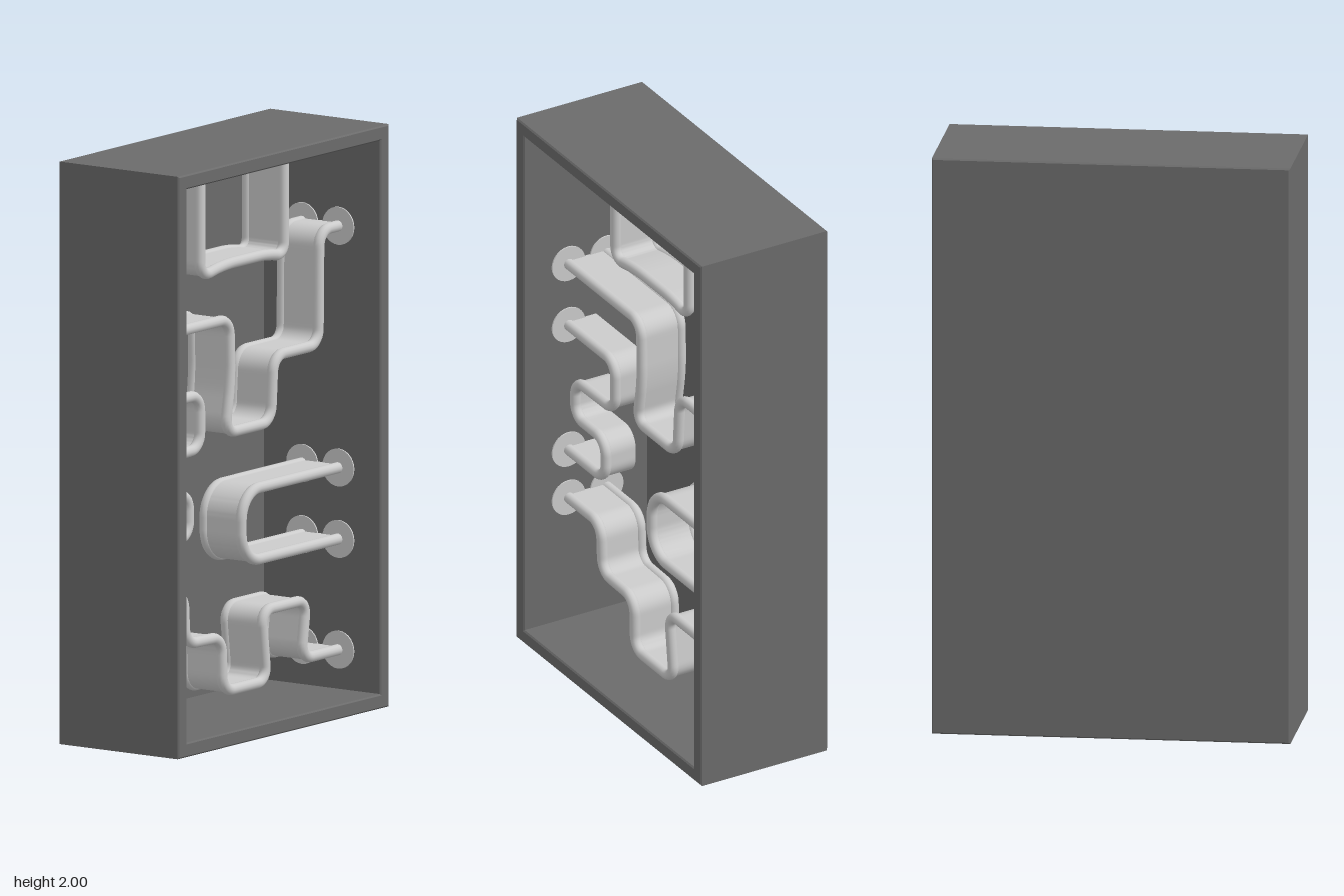
import * as THREE from 'three';
import { toCreasedNormals } from 'three/addons/utils/BufferGeometryUtils.js';

const W = 1.22, H = 2, D = 0.5, WALL = 0.05, BEVEL = 0.005;
const ROD = 0.019, FRONT_Z = 0.075, BACK_Z = -0.075;

const boxMat = new THREE.MeshStandardMaterial({ color: 0x6b6b6b });
const railMat = new THREE.MeshStandardMaterial({ color: 0xcccccc });

function addMesh(parent, name, geometry, material) {
  const mesh = new THREE.Mesh(geometry, material);
  mesh.name = name;
  parent.add(mesh);
  return mesh;
}

function rectPath(target, w, h) {
  target.moveTo(-w / 2, -h / 2);
  target.lineTo(w / 2, -h / 2);
  target.lineTo(w / 2, h / 2);
  target.lineTo(-w / 2, h / 2);
  target.closePath();
  return target;
}

// Polyline with rounded corners, as a planar curve
function roundedPath(points, radius) {
  const p = points.map(([x, y]) => new THREE.Vector3(x, y, 0));
  const path = new THREE.CurvePath();
  let from = p[0];
  for (let i = 1; i < p.length - 1; i++) {
    const before = p[i - 1].clone().sub(p[i]);
    const after = p[i + 1].clone().sub(p[i]);
    const r = Math.min(radius, before.length() * 0.48, after.length() * 0.48);
    const a = p[i].clone().addScaledVector(before.normalize(), r);
    const b = p[i].clone().addScaledVector(after.normalize(), r);
    // cubic handles approximate a circular corner
    path.add(new THREE.LineCurve3(from, a));
    path.add(new THREE.CubicBezierCurve3(a, a.clone().lerp(p[i], 0.55), b.clone().lerp(p[i], 0.55), b));
    from = b;
  }
  path.add(new THREE.LineCurve3(from, p[p.length - 1]));
  return path;
}

// Thin web that follows the path and spans the given depth
function webGeometry(path, halfWidth, zFrom, zTo) {
  const n = 160, left = [], right = [];
  for (let i = 0; i <= n; i++) {
    const c = path.getPointAt(i / n), t = path.getTangentAt(i / n);
    left.push(new THREE.Vector2(c.x - t.y * halfWidth, c.y + t.x * halfWidth));
    right.push(new THREE.Vector2(c.x + t.y * halfWidth, c.y - t.x * halfWidth));
  }
  const shape = new THREE.Shape([...left, ...right.reverse()]);
  const geo = new THREE.ExtrudeGeometry(shape, { depth: zTo - zFrom, bevelEnabled: false });
  geo.translate(0, 0, zFrom);
  return toCreasedNormals(geo, 0.7);
}

// Rail: one or two rods, a web behind them and a round flange at every rod end
function makeRail({ name, points, radius = 0.055, double = true }) {
  const rail = new THREE.Group();
  rail.name = name;
  const path = roundedPath(points, radius);
  const rods = double ? [FRONT_Z, BACK_Z] : [FRONT_Z];
  addMesh(rail, 'web', webGeometry(path, 0.011, double ? BACK_Z : -0.035, FRONT_Z), railMat);
  for (const z of rods) {
    addMesh(rail, 'rod', new THREE.TubeGeometry(path, 180, ROD, 14), railMat).position.z = z;
    for (const u of [0, 1]) {
      const c = path.getPointAt(u), t = path.getTangentAt(u);
      const flange = addMesh(rail, 'flange', new THREE.CylinderGeometry(0.065, 0.065, 0.01, 28), railMat);
      flange.quaternion.setFromUnitVectors(new THREE.Vector3(0, 1, 0), t);
      flange.position.set(c.x, c.y, z);
    }
  }
  return rail;
}

const RAILS = [
  { name: 'topLoopRail', points: [[-0.245, 1.95], [-0.245, 1.58], [-0.11, 1.605], [0.14, 1.605], [0.24, 1.585], [0.24, 1.95]] },
  {
    name: 'upperSteppedRail',
    points: [[-0.56, 1.415], [-0.075, 1.415], [-0.07, 1.2], [-0.1, 1.025], [0.165, 1.025], [0.18, 1.25],
      [0.44, 1.25], [0.445, 1.64], [0.56, 1.64]],
  },
  {
    name: 'windingRail', double: false,
    points: [[-0.56, 1.18], [-0.245, 1.18], [-0.245, 0.995], [-0.51, 0.99], [-0.51, 0.85], [-0.31, 0.85],
      [-0.31, 0.7], [-0.56, 0.7]],
  },
  { name: 'sideLoopRail', radius: 0.1, points: [[0.56, 0.81], [-0.005, 0.81], [-0.005, 0.565], [0.56, 0.565]] },
  {
    name: 'lowerSteppedRail',
    points: [[-0.56, 0.515], [-0.34, 0.515], [-0.33, 0.335], [-0.12, 0.33], [-0.115, 0.14], [0.14, 0.14],
      [0.11, 0.385], [0.37, 0.385], [0.34, 0.185], [0.56, 0.185]],
  },
];

export function createModel() {
  const model = new THREE.Group();
  model.name = 'railCabinet';

  // Four walls with a slightly bevelled rim
  const walls = rectPath(new THREE.Shape(), W - 2 * BEVEL, H - 2 * BEVEL);
  walls.holes.push(rectPath(new THREE.Path(), W - 2 * WALL + 2 * BEVEL, H - 2 * WALL + 2 * BEVEL));
  const wallGeo = new THREE.ExtrudeGeometry(walls, {
    depth: D - 2 * BEVEL, bevelThickness: BEVEL, bevelSize: BEVEL, bevelSegments: 1,
  });
  wallGeo.translate(0, H / 2, -D / 2 + BEVEL);
  addMesh(model, 'cabinetWalls', wallGeo, boxMat);

  // Back panel
  const back = addMesh(model, 'backPanel', new THREE.BoxGeometry(W - 1.7 * WALL, H - 1.7 * WALL, 0.015), boxMat);
  back.position.set(0, H / 2, -D / 2 + 0.0075);

  for (const spec of RAILS) model.add(makeRail(spec));
  return model;
}
